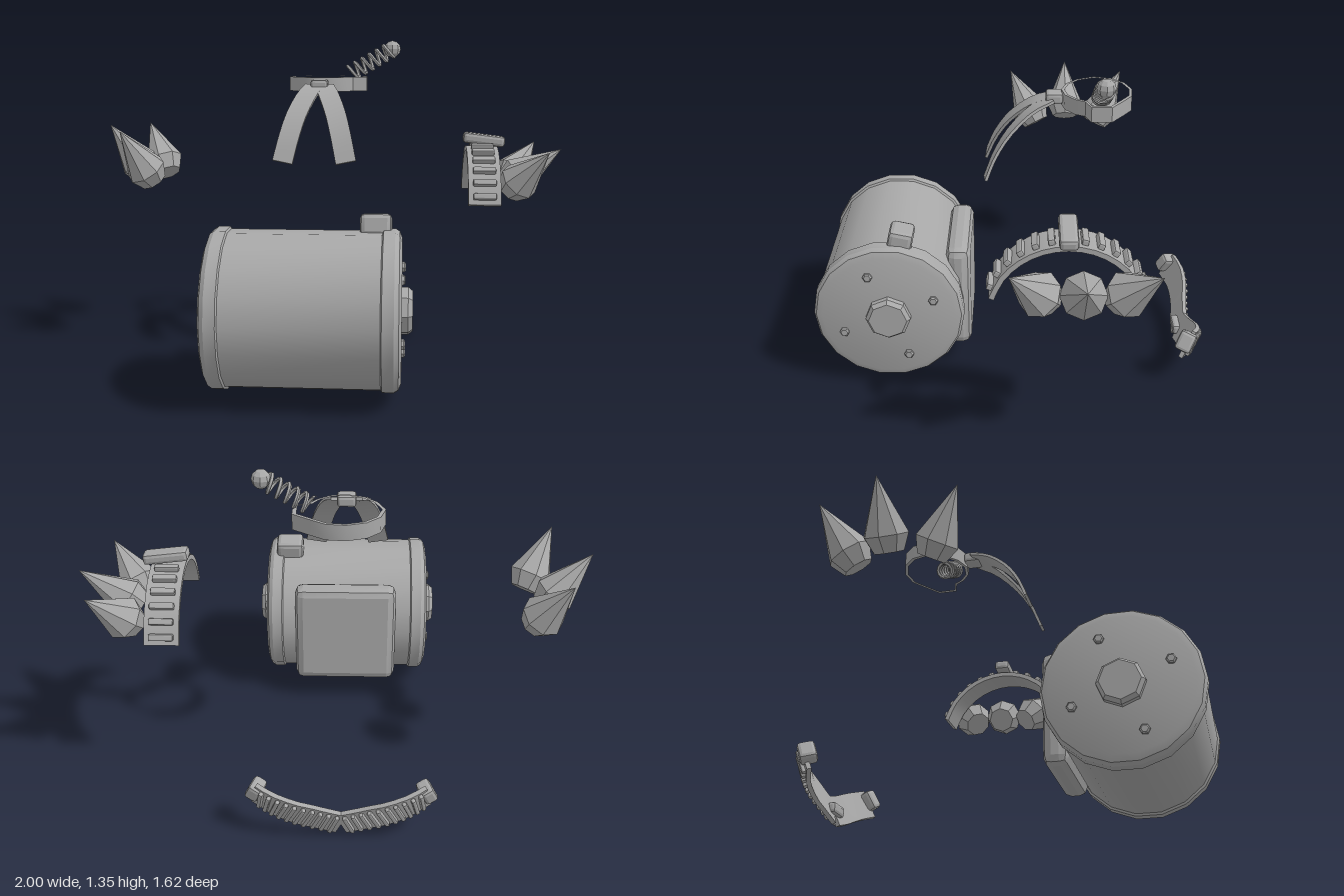
import * as THREE from 'three';
import { toCreasedNormals, mergeGeometries } from 'three/addons/utils/BufferGeometryUtils.js';
import { RoundedBoxGeometry } from 'three/addons/geometries/RoundedBoxGeometry.js';

const V = (x, y, z) => new THREE.Vector3(x, y, z);
const grey = new THREE.MeshStandardMaterial({ color: 0xa8a8a8 });
grey.name = 'grey';

function add(parent, name, geometry, crease = 0.55) {
  const mesh = new THREE.Mesh(toCreasedNormals(geometry, crease), grey);
  mesh.name = name;
  parent.add(mesh);
  return mesh;
}

function group(parent, name) {
  const g = new THREE.Group();
  g.name = name;
  parent.add(g);
  return g;
}

const block = (w, h, d, r) => new RoundedBoxGeometry(w, h, d, 1, r);

// Lathe given [radius, height] pairs, turned about the x axis
function latheX(profile, sides) {
  const pts = profile.map(([r, h]) => new THREE.Vector2(r, h));
  return new THREE.LatheGeometry(pts, sides).rotateZ(-Math.PI / 2);
}

// Frame of a strap at u: position, tangent, side, normal
function frameAt(curve, u, hint) {
  const p = curve.getPoint(u);
  const t = curve.getTangent(u);
  const s = hint.clone().addScaledVector(t, -t.dot(hint)).normalize();
  return { p, t, s, n: t.clone().cross(s) };
}

// Flat band of rectangular section swept along a curve
function strap(curve, hint, halfW, halfT, steps) {
  const pos = [], idx = [];
  for (let i = 0; i <= steps; i++) {
    const { p, s, n } = frameAt(curve, i / steps, hint);
    for (const [a, b] of [[1, 1], [-1, 1], [-1, -1], [1, -1]]) {
      pos.push(...p.clone().addScaledVector(s, a * halfW).addScaledVector(n, b * halfT).toArray());
    }
    if (i === steps) break;
    for (let j = 0; j < 4; j++) {
      const a = i * 4 + j, b = i * 4 + (j + 1) % 4;
      idx.push(a, b, b + 4, a, b + 4, a + 4);
    }
  }
  const e = steps * 4;
  idx.push(0, 2, 1, 0, 3, 2, e, e + 1, e + 2, e, e + 2, e + 3);
  const g = new THREE.BufferGeometry();
  g.setAttribute('position', new THREE.Float32BufferAttribute(pos, 3));
  g.setIndex(idx);
  return g;
}

// Cross ribs placed along a strap on one face
function ribs(curve, hint, us, size, offset) {
  return mergeGeometries(us.map(u => {
    const { p, t, s, n } = frameAt(curve, u, hint);
    const m = new THREE.Matrix4().makeBasis(t, s, n).setPosition(p.clone().addScaledVector(n, offset));
    return block(...size, 0.006).applyMatrix4(m);
  }));
}

function buildBarrel(root) {
  const g = group(root, 'barrel');
  g.position.set(-0.05, 0.352, 0.5);
  add(g, 'drum', latheX([[0.3, -0.3], [0.3, 0.3]], 18));
  for (const m of [-1, 1]) {
    const end = group(g, m > 0 ? 'leftEnd' : 'rightEnd');
    if (m < 0) end.rotation.y = Math.PI;
    add(end, 'endBand', latheX([[0.296, 0.285], [0.309, 0.292], [0.309, 0.335],
      [0.298, 0.352], [0.272, 0.362], [0, 0.362]], 18));
    add(end, 'hub', latheX([[0.092, 0.35], [0.092, 0.385], [0.078, 0.402], [0, 0.402]], 8), 0.3);
    for (let i = 0; i < 4; i++) {
      const a = 0.39 + i * Math.PI / 2;
      add(end, 'bolt', latheX([[0.02, 0.35], [0.02, 0.37], [0.014, 0.375], [0, 0.375]], 6), 0.3)
        .position.set(0, Math.cos(a) * 0.2, Math.sin(a) * 0.2);
    }
  }
  const cap = add(g, 'fillerCap', block(0.12, 0.085, 0.1, 0.018), 0.3);
  cap.position.set(0.262, 0.315, -0.055);
  cap.rotation.x = -0.22;
  add(g, 'backPlate', block(0.45, 0.46, 0.1, 0.035), 0.3).position.set(0.005, -0.002, -0.28);
}

function buildHeadband(root) {
  const g = group(root, 'headband');
  const outline = [[-0.055, -0.485], [0.02, -0.477], [0.075, -0.44], [0.145, -0.39], [0.145, -0.31],
    [0.085, -0.29], [0.06, -0.25], [0.01, -0.212], [-0.055, -0.2], [-0.12, -0.222], [-0.17, -0.27],
    [-0.2, -0.34], [-0.18, -0.41], [-0.13, -0.46]];
  const ring = k => outline.map(([x, z]) =>
    new THREE.Vector2(-0.04 + (x + 0.04) * k, 0.345 + (-z - 0.345) * k));
  const shape = new THREE.Shape(ring(1));
  shape.holes.push(new THREE.Path(ring(0.91)));
  add(g, 'band', new THREE.ExtrudeGeometry(shape, { depth: 0.062, bevelEnabled: false })
    .rotateX(-Math.PI / 2).translate(0, 1.137, 0));
  add(g, 'knot', block(0.075, 0.045, 0.07, 0.012), 0.3).position.set(-0.053, 1.168, -0.172);
  // Two tails falling forward
  for (const m of [-1, 1]) {
    const path = new THREE.CatmullRomCurve3([[0.02, 1.163, -0.16], [0.045, 1.13, -0.085],
      [0.082, 1.05, 0.005], [0.108, 0.96, 0.065], [0.13, 0.863, 0.105]]
      .map(([x, y, z]) => V(-0.053 + m * x, y, z)));
    add(g, 'ribbonTail', strap(path, V(1, 0, 0), 0.042, 0.006, 10));
  }
  // Coil spring with a ball at its end
  const a = V(0.075, 1.215, -0.352), axis = V(0.172, 0.1, 0);
  const side = V(-0.1, 0.172, 0).normalize().multiplyScalar(0.034);
  class Coil extends THREE.Curve {
    getPoint(u, target = V(0, 0, 0)) {
      const w = u * Math.PI * 2 * 5.5;
      return target.copy(a).addScaledVector(axis, u).addScaledVector(side, Math.cos(w))
        .add(V(0, 0, Math.sin(w) * 0.034));
    }
  }
  add(g, 'spring', new THREE.TubeGeometry(new Coil(), 72, 0.008, 5), 1);
  add(g, 'springBall', new THREE.SphereGeometry(0.037, 8, 6), 0.3).position.set(0.256, 1.32, -0.353);
}

// Spike running from base to tip, widest a little above its base
function spike(parent, base, tip) {
  const dir = tip.clone().sub(base);
  const pts = [[0, 0], [0.058, 0], [0.086, 0.062], [0, dir.length()]].map(p => new THREE.Vector2(...p));
  const mesh = add(parent, 'spike', new THREE.LatheGeometry(pts, 8), 0.3);
  mesh.position.copy(base);
  mesh.quaternion.setFromUnitVectors(V(0, 1, 0), dir.normalize());
}

function buildSpikes(root) {
  const right = group(root, 'rightSpikes');
  spike(right, V(-0.835, 0.765, -0.255), V(-1, 0.985, -0.255));
  const left = group(root, 'leftSpikes');
  spike(left, V(0.76, 0.735, -0.255), V(0.995, 0.89, -0.255));
  for (const m of [-1, 1]) {
    spike(right, V(-0.775, 0.755, -0.255 + m * 0.14), V(-0.885, 0.978, -0.255 + m * 0.265));
    spike(left, V(0.765, 0.725, -0.255 + m * 0.12), V(0.91, 0.9, -0.255 + m * 0.26));
  }
}

function buildShoulderStrap(root) {
  const g = group(root, 'shoulderStrap');
  const pts = [];
  for (let i = -4; i <= 4; i++) {
    const a = i * 0.325;
    pts.push(V(0.645, 0.612 + 0.285 * Math.cos(a), -0.205 + 0.285 * Math.sin(a)));
  }
  const arch = new THREE.CatmullRomCurve3(pts);
  const hint = V(-1, 0, 0);
  add(g, 'archBand', strap(arch, hint, 0.067, 0.01, 16));
  const us = [];
  for (let i = 1; i <= 6; i++) us.push(0.5 - i * 0.076, 0.5 + i * 0.076);
  // The outer face is the one away from the arch centre
  const sign = Math.sign(frameAt(arch, 0.5, hint).n.y);
  add(g, 'crossBars', ribs(arch, hint, us, [0.026, 0.095, 0.026], sign * 0.018), 0.3);
  const buckle = add(g, 'buckle', block(0.18, 0.045, 0.07, 0.014), 0.3);
  buckle.position.set(0.655, 0.935, -0.205);
  buckle.rotation.z = -0.12;
}

function buildWaistStrap(root) {
  const g = group(root, 'waistStrap');
  const hint = V(0, 1, -0.35).normalize();
  for (const m of [-1, 1]) {
    const path = new THREE.CatmullRomCurve3([[0, 0.07, -0.755], [0.09, 0.1, -0.762],
      [0.18, 0.135, -0.772], [0.26, 0.168, -0.765], [0.33, 0.195, -0.735]]
      .map(([x, y, z]) => V(-0.045 + m * x, y, z)));
    add(g, 'band', strap(path, hint, 0.064, 0.009, 8));
    const us = Array.from({ length: 10 }, (_, i) => 0.08 + i * 0.09);
    add(g, 'backRibs', ribs(path, hint, us, [0.018, 0.108, 0.022], -m * 0.014), 0.3);
    const clip = add(g, 'endClip', block(0.055, 0.085, 0.07, 0.014), 0.3);
    clip.position.set(-0.045 + m * 0.325, 0.208, -0.73);
    clip.rotation.set(-0.3, m * -0.4, m * 0.35);
  }
  add(g, 'centreClasp', block(0.1, 0.045, 0.035, 0.012), 0.3).position.set(-0.045, 0.075, -0.738);
}

export function createModel() {
  const root = new THREE.Group();
  root.name = 'accessorySet';
  buildBarrel(root);
  buildHeadband(root);
  buildSpikes(root);
  buildShoulderStrap(root);
  buildWaistStrap(root);
  return root;
}
